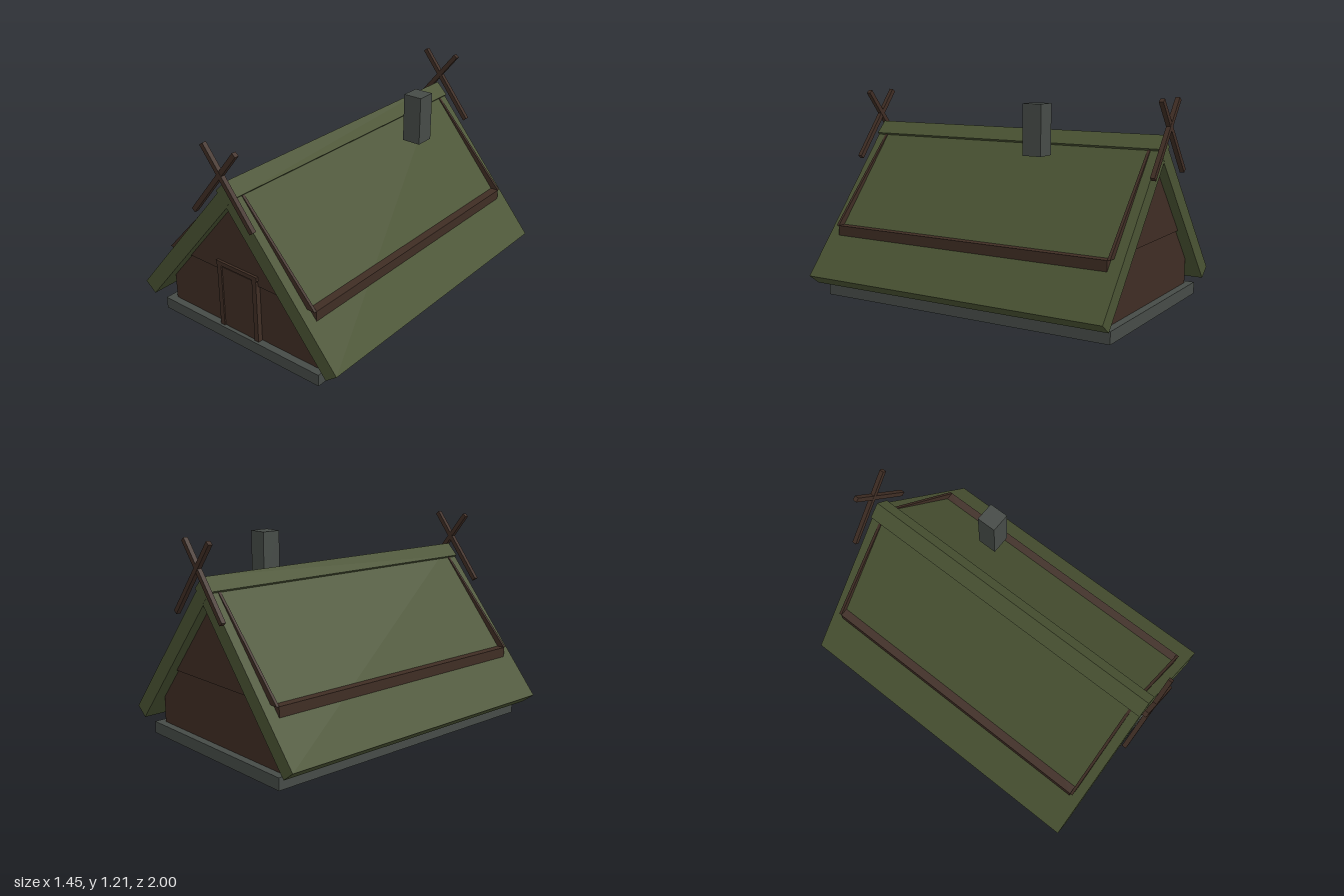
import * as THREE from 'three';

const roofGreen = new THREE.MeshStandardMaterial({ name: 'mossGreen', color: 0x4a5333 });
const wood = new THREE.MeshStandardMaterial({ name: 'darkWood', color: 0x3f2d24 });
const stone = new THREE.MeshStandardMaterial({ name: 'greyStone', color: 0x464b47 });

export function createModel() {
  const group = new THREE.Group();

  const add = (name, geometry, material, x = 0, y = 0, z = 0, rotZ = 0) => {
    const mesh = new THREE.Mesh(geometry, material);
    mesh.name = name;
    mesh.position.set(x, y, z);
    mesh.rotation.z = rotZ;
    group.add(mesh);
    return mesh;
  };
  const box = (name, material, w, h, d, x, y, z, rotZ = 0) =>
    add(name, new THREE.BoxGeometry(w, h, d), material, x, y, z, rotZ);

  // Outline in x and y, extruded along z and centred on the given z
  const prism = (name, material, points, depth, z = 0) => {
    const shape = new THREE.Shape(points.map(([x, y]) => new THREE.Vector2(x, y)));
    const geometry = new THREE.ExtrudeGeometry(shape, { depth, bevelEnabled: false });
    geometry.translate(0, 0, -depth / 2);
    return add(name, geometry, material, 0, 0, z);
  };

  // Foundation and walls
  box('foundation', stone, 1.17, 0.07, 1.87, 0, 0.035, 0);
  box('walls', wood, 1.08, 0.35, 1.78, 0, 0.245, 0);

  // Roof slabs and square ridge beam turned on its edge
  for (const s of [-1, 1]) {
    const half = [[0, 0.86], [0.655, 0.085], [0.727, 0.14], [0, 1.0]].map(([x, y]) => [s * x, y]);
    prism(s > 0 ? 'leftRoof' : 'rightRoof', roofGreen, half, 1.92);
  }
  box('ridgeBeam', roofGreen, 0.1, 0.1, 1.922, 0, 0.94, 0, Math.PI / 4);

  // Gable boards and crossed poles at both ends
  const poleAngle = Math.atan2(0.405, 0.325);
  for (const end of [1, -1]) {
    const side = end > 0 ? 'front' : 'back';
    prism(side + 'Gable', wood, [[-0.54, 0.42], [0.54, 0.42], [0, 1.0]], 0.016, end * 0.897);
    for (const s of [-1, 1]) {
      // a hair of offset keeps the crossing faces apart
      box(side + 'RidgePole', wood, 0.52, 0.028, 0.026, s * -0.048, 0.999,
        end * (0.987 - (s > 0 ? 0.001 : 0)), s * poleAngle);
    }
  }

  // Door with posts and lintel
  box('door', wood, 0.25, 0.375, 0.03, 0, 0.2575, 0.897);
  for (const s of [-1, 1]) box('doorPost', wood, 0.03, 0.385, 0.04, s * 0.13, 0.2625, 0.9);
  box('doorLintel', wood, 0.3, 0.025, 0.04, 0, 0.4675, 0.9);

  // Chimney
  box('chimney', stone, 0.115, 0.285, 0.115, 0.28, 1.033, -0.33);

  return group;
}
